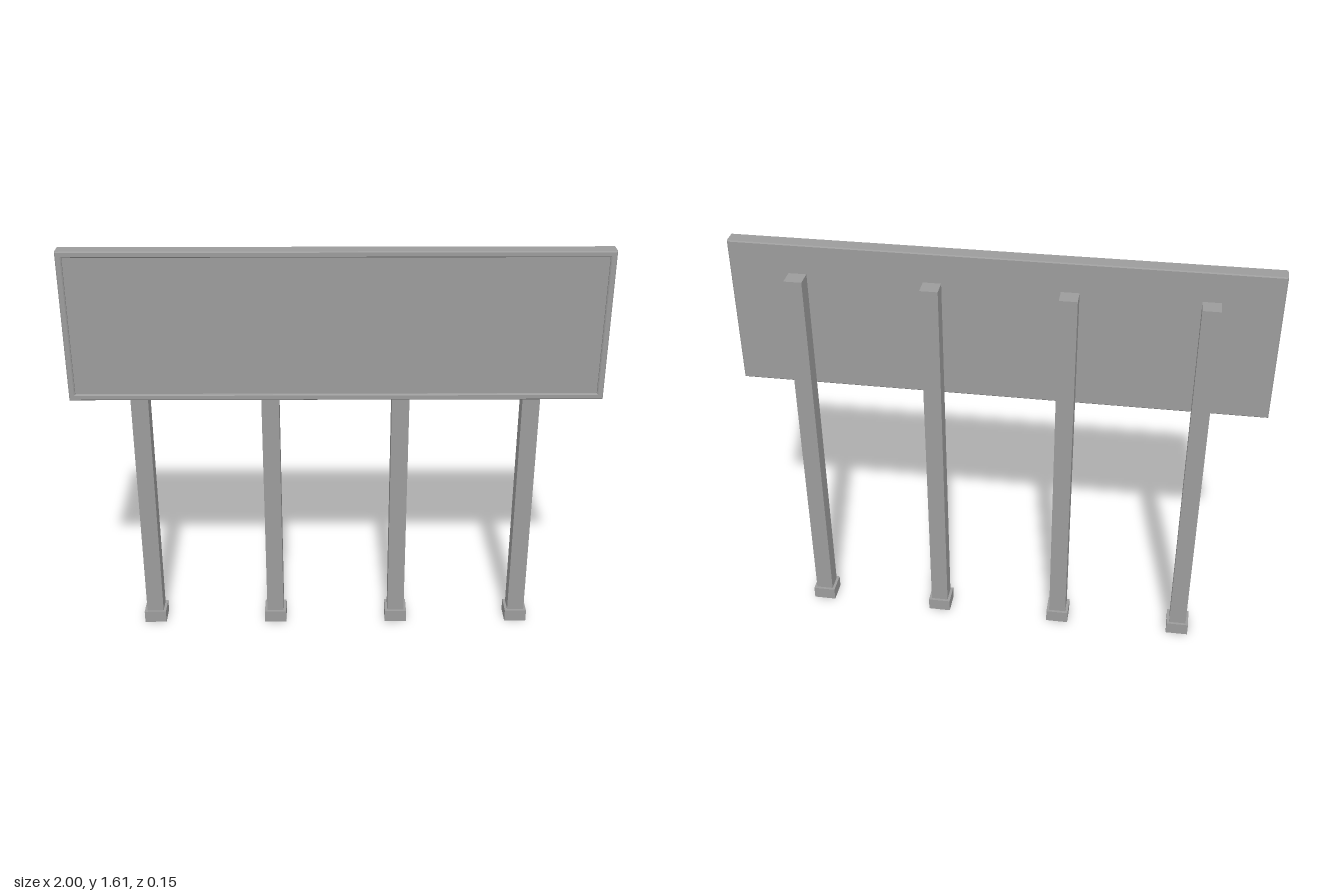
import * as THREE from 'three';

const material = new THREE.MeshStandardMaterial({ color: 0x9c9c9c, flatShading: true });
const shellMaterial = new THREE.MeshStandardMaterial({ color: 0x9c9c9c, flatShading: true, side: THREE.DoubleSide });

function rectangle(PathType, halfW, halfH) {
  return new PathType([[-1, -1], [1, -1], [1, 1], [-1, 1]].map(([x, y]) => new THREE.Vector2(x * halfW, y * halfH)));
}

function part(name, geometry, x, y, z, mat = material) {
  const mesh = new THREE.Mesh(geometry, mat);
  mesh.name = name;
  mesh.position.set(x, y, z);
  return mesh;
}

// Box shell with its underside left open
function openBottomBox(w, h, d) {
  const geometry = new THREE.BoxGeometry(w, h, d);
  const index = Array.from(geometry.index.array);
  index.splice(18, 6);
  geometry.setIndex(index);
  geometry.clearGroups();
  return geometry;
}

export function createModel() {
  const model = new THREE.Group();
  model.name = 'billboard';

  // Sign board: raised rim with a fine chamfer around a slightly recessed face
  const halfW = 1, bottom = 1.037, top = 1.614, rim = 0.023, bevel = 0.004;
  const halfH = (top - bottom) / 2, midY = (top + bottom) / 2;
  const back = 0.012, front = 0.074, recess = 0.01;
  const rimShape = rectangle(THREE.Shape, halfW, halfH);
  rimShape.holes.push(rectangle(THREE.Path, halfW - rim, halfH - rim));
  const rimGeometry = new THREE.ExtrudeGeometry(rimShape, {
    depth: front - back - 2 * bevel,
    bevelThickness: bevel, bevelSize: bevel, bevelOffset: -bevel, bevelSegments: 1
  });
  const inset = rim - bevel;
  const board = new THREE.Group();
  board.name = 'signBoard';
  board.add(
    part('boardFrame', rimGeometry, 0, midY, back + bevel),
    part('boardPanel', new THREE.BoxGeometry(2 * (halfW - inset), 2 * (halfH - inset), front - back - recess),
      0, midY, (front - recess + back) / 2)
  );
  model.add(board);

  // Four square posts, each standing in a hollow foot
  const postTop = 1.503, postBottom = 0.045, postZ = -0.028;
  for (let i = 0; i < 4; i++) {
    const x = -0.75 + i * 0.498;
    const support = new THREE.Group();
    support.name = 'support' + (i + 1);
    support.add(
      part('post', new THREE.BoxGeometry(0.067, postTop - postBottom, 0.067), x, (postTop + postBottom) / 2, postZ),
      part('foot', openBottomBox(0.088, 0.05, 0.088), x, 0.025, postZ, shellMaterial)
    );
    model.add(support);
  }
  return model;
}
